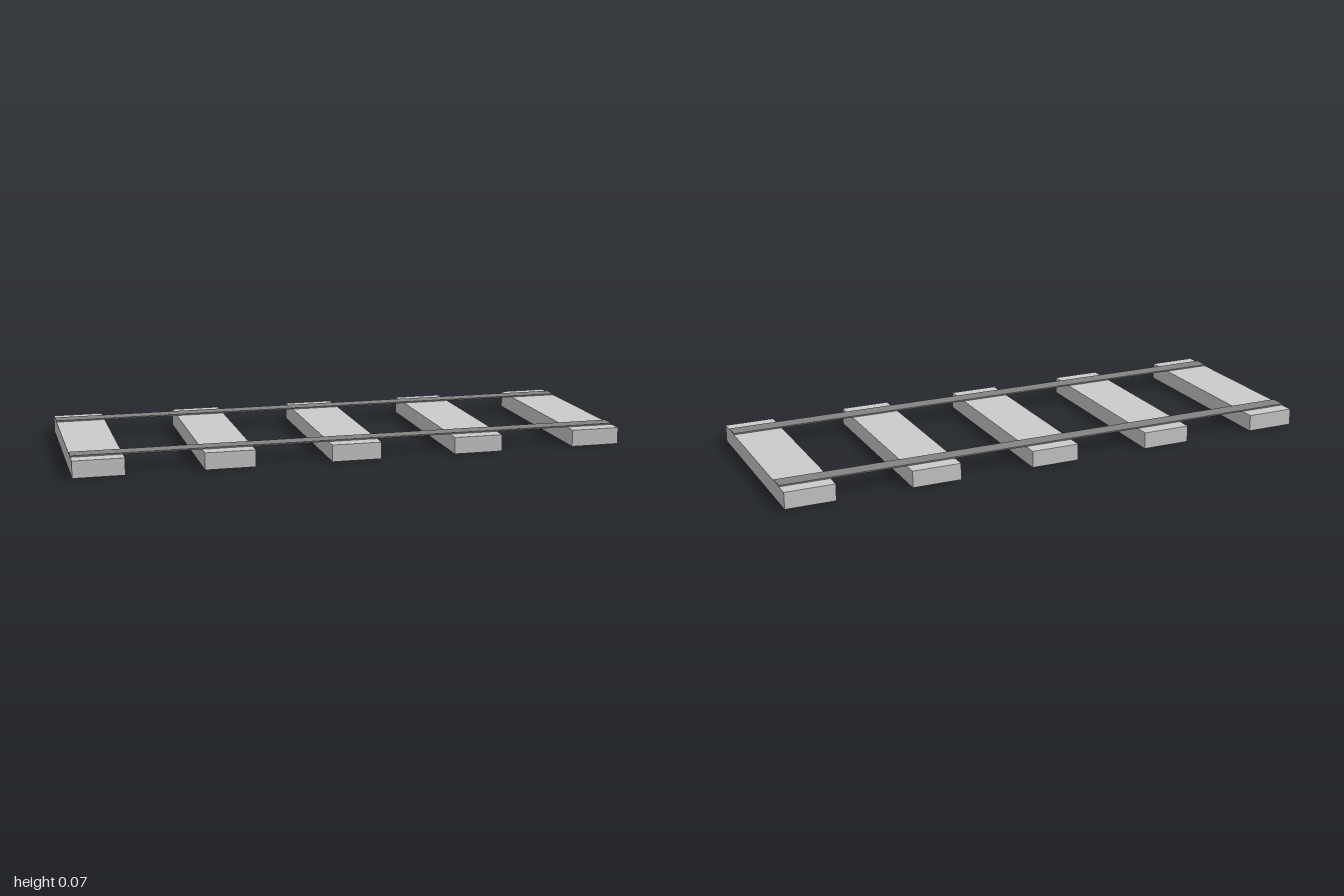
import * as THREE from 'three';

export function createModel() {
  const group = new THREE.Group();
  const tieMaterial = new THREE.MeshStandardMaterial({ color: 0xcccccc });
  const railMaterial = new THREE.MeshStandardMaterial({ color: 0x848484 });

  const tieWidth = 0.18, tieHeight = 0.061, tieLength = 0.728;
  const railWidth = 0.06, railHeight = 0.005, railOffset = 0.28;

  // Evenly spaced cross ties, the outer ones flush with the rail ends
  const tieGeometry = new THREE.BoxGeometry(tieWidth, tieHeight, tieLength);
  const tieCount = 5;
  const spacing = (2 - tieWidth) / (tieCount - 1);
  for (let i = 0; i < tieCount; i++) {
    const tie = new THREE.Mesh(tieGeometry, tieMaterial);
    tie.name = `tie${i + 1}`;
    tie.position.set(-1 + tieWidth / 2 + i * spacing, tieHeight / 2, 0);
    group.add(tie);
  }

  // Two thin flat rails resting on the ties
  const railGeometry = new THREE.BoxGeometry(2, railHeight, railWidth);
  for (const side of [-1, 1]) {
    const rail = new THREE.Mesh(railGeometry, railMaterial);
    rail.name = side > 0 ? 'frontRail' : 'backRail';
    rail.position.set(0, tieHeight + railHeight / 2, side * railOffset);
    group.add(rail);
  }

  return group;
}
